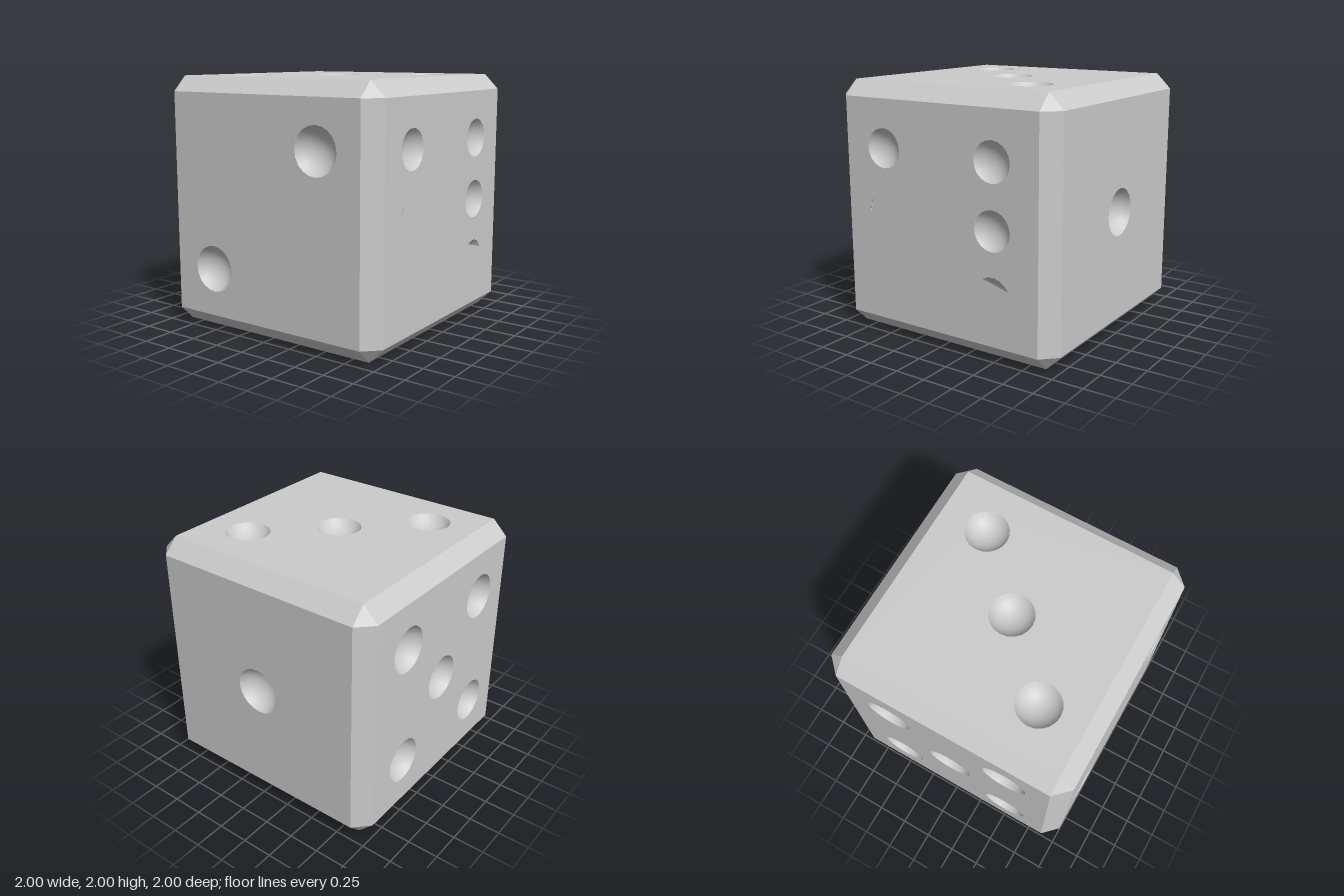
import * as THREE from 'three';

const HALF = 1, FLAT = 0.88, SPHERE = 0.2, SIDES = 20;
const material = new THREE.MeshStandardMaterial({ color: 0xcccccc });
const flatMaterial = new THREE.MeshStandardMaterial({ color: 0xcccccc, flatShading: true });

// Outline of a pip opening; a partial arc leaves only a sliver open
function opening(x, y, r, from = 0, to = 360) {
  const points = [];
  const steps = Math.max(4, Math.round(((to - from) / 360) * SIDES));
  const count = to - from === 360 ? steps : steps + 1;
  for (let i = 0; i < count; i++) {
    const a = THREE.MathUtils.degToRad(from + ((to - from) * i) / steps);
    points.push(new THREE.Vector2(x + r * Math.cos(a), y + r * Math.sin(a)));
  }
  return new THREE.Path(points);
}

// Hollow spherical cap, rim at z = 0, sunk towards -z
function bowlGeometry(r) {
  const rim = Math.asin(r / SPHERE);
  const profile = [];
  for (let i = 0; i <= 8; i++) {
    const a = rim * (1 - i / 8);
    profile.push(new THREE.Vector2(SPHERE * Math.sin(a), SPHERE * (Math.cos(rim) - Math.cos(a))));
  }
  return new THREE.LatheGeometry(profile, SIDES).rotateX(Math.PI / 2);
}

// One flat side with its pips, facing local +z
function createSide({ name, rotation, r, shift, pips }) {
  const side = new THREE.Group();
  side.name = name;
  const shape = new THREE.Shape([[-1, -1], [1, -1], [1, 1], [-1, 1]]
    .map(([x, y]) => new THREE.Vector2(x * FLAT, y * FLAT)));
  const geometry = bowlGeometry(r);
  for (const [x, y, from, to] of pips) {
    shape.holes.push(opening(x + shift, y, r, from, to));
    const bowl = new THREE.Mesh(geometry, material);
    bowl.name = 'pip';
    bowl.position.set(x + shift, y, HALF);
    side.add(bowl);
  }
  const panel = new THREE.Mesh(new THREE.ShapeGeometry(shape), flatMaterial);
  panel.name = 'panel';
  panel.position.z = HALF;
  side.add(panel);
  side.rotation.set(...rotation);
  return side;
}

// Twelve chamfer strips and eight corner triangles
function bevelGeometry() {
  const positions = [];
  const addTriangle = (a, b, c) => {
    const normal = b.clone().sub(a).cross(c.clone().sub(a));
    const ordered = normal.dot(a) < 0 ? [a, c, b] : [a, b, c];
    for (const p of ordered) positions.push(p.x, p.y, p.z);
  };
  // Corner point lying on the side of the given axis
  const corner = (signs, axis) =>
    new THREE.Vector3(...signs.map((s, i) => s * (i === axis ? HALF : FLAT)));

  for (const s of [-1, 1]) for (const t of [-1, 1]) {
    for (let axis = 0; axis < 3; axis++) {
      const u = (axis + 1) % 3, v = (axis + 2) % 3;
      const start = [0, 0, 0], end = [0, 0, 0];
      start[axis] = -1;
      end[axis] = 1;
      start[u] = end[u] = s;
      start[v] = end[v] = t;
      const [a, b, c, d] = [corner(start, u), corner(end, u), corner(end, v), corner(start, v)];
      addTriangle(a, b, c);
      addTriangle(a, c, d);
    }
    for (const w of [-1, 1]) {
      const signs = [s, t, w];
      addTriangle(corner(signs, 0), corner(signs, 1), corner(signs, 2));
    }
  }
  const geometry = new THREE.BufferGeometry();
  geometry.setAttribute('position', new THREE.Float32BufferAttribute(positions, 3));
  geometry.computeVertexNormals();
  return geometry;
}

export function createModel() {
  const die = new THREE.Group();
  die.name = 'die';
  const q = Math.PI / 2, p = 0.5;
  const four = [[-p, -p], [p, -p], [p, p], [-p, p]];

  const sides = [
    // Front: three full pips and two partly covered ones
    { name: 'frontSide', rotation: [0, 0, 0], r: 0.155, shift: -0.01,
      pips: [[-p, p], [p, p], [p, 0], [p, -p, 28, 121], [-p, 0, 138, 190]] },
    { name: 'backSide', rotation: [0, 2 * q, 0], r: 0.183, shift: 0.01, pips: [...four, [0, 0]] },
    { name: 'leftSide', rotation: [0, q, 0], r: 0.19, shift: 0, pips: [[0, 0]] },
    { name: 'rightSide', rotation: [0, -q, 0], r: 0.185, shift: 0, pips: [[p, p], [-p, -p]] },
    { name: 'topSide', rotation: [-q, 0, 0], r: 0.173, shift: -0.01, pips: [[-p, p], [0, 0], [p, -p]] },
    { name: 'bottomSide', rotation: [q, 0, 0], r: 0.173, shift: -0.01, pips: four },
  ];
  for (const side of sides) die.add(createSide(side));

  const bevels = new THREE.Mesh(bevelGeometry(), flatMaterial);
  bevels.name = 'bevelledEdges';
  die.add(bevels);

  die.position.y = HALF;
  const model = new THREE.Group();
  model.name = 'model';
  model.add(die);
  return model;
}
